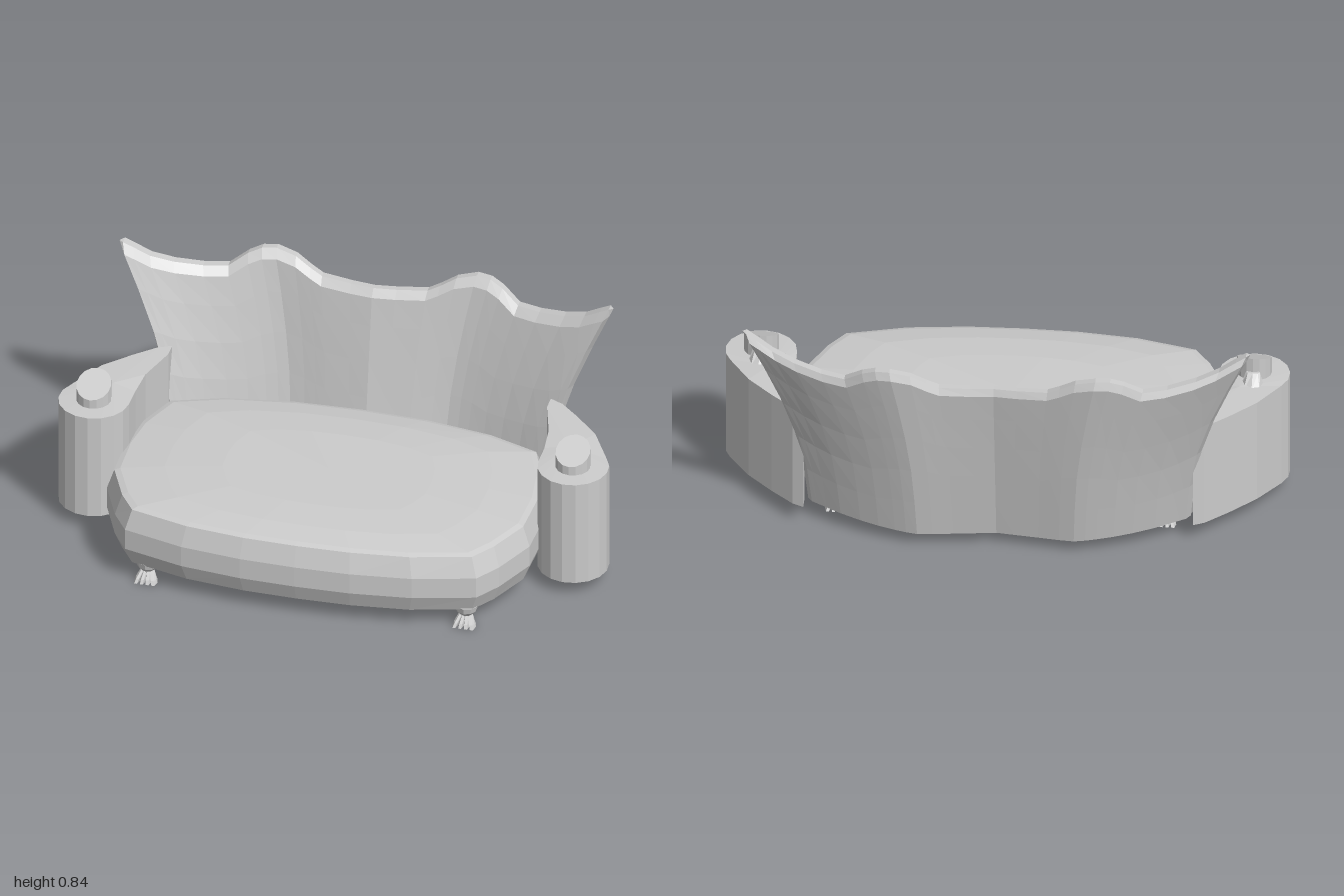
import * as THREE from 'three';

const material = new THREE.MeshStandardMaterial({ color: 0xcccccc, flatShading: true, side: THREE.DoubleSide });

// Linear lookup in a list of [key, value] pairs
function lookup(table, k) {
  for (let i = 1; i < table.length; i++) {
    const [a, va] = table[i - 1], [b, vb] = table[i];
    if (k <= b) return va + (vb - va) * Math.max(0, (k - a) / (b - a));
  }
  return table[table.length - 1][1];
}

// Skin closed rings of [x, y, z] points; collapse the end rings to close the solid
function loft(name, rings) {
  const n = rings[0].length, index = [];
  for (let j = 0; j < rings.length - 1; j++) {
    for (let i = 0; i < n; i++) {
      const a = j * n + i, b = j * n + (i + 1) % n;
      index.push(a, b, b + n, a, b + n, a + n);
    }
  }
  const geo = new THREE.BufferGeometry();
  geo.setAttribute('position', new THREE.Float32BufferAttribute(rings.flat(2), 3));
  geo.setIndex(index);
  geo.computeVertexNormals();
  const mesh = new THREE.Mesh(geo, material);
  mesh.name = name;
  return mesh;
}

// Circle in plan, counter-clockwise seen from above; y may depend on z
function circle(cx, cz, r, y, n = 16, rz = r) {
  return Array.from({ length: n }, (_, i) => {
    const a = (i / n) * Math.PI * 2, z = cz - Math.sin(a) * rz;
    return [cx + Math.cos(a) * r, typeof y === 'function' ? y(z) : y, z];
  });
}

// Domed seat cushion with a rounded rim
function makeSeat() {
  const half = [[0, 0.58], [0.2, 0.575], [0.42, 0.55], [0.64, 0.49], [0.7, 0.4], [0.77, 0.24], [0.775, 0.05],
    [0.755, -0.1], [0.69, -0.27], [0.5, -0.34], [0.25, -0.38], [0, -0.39]];
  const outline = [...half, ...half.slice(1, -1).reverse().map(([x, z]) => [-x, z])];
  // [inset, height]
  const layers = [[0.77, 0.07], [0.025, 0.07], [0, 0.135], [0, 0.215], [0.025, 0.29], [0.045, 0.297],
    [0.2, 0.313], [0.4, 0.323], [0.77, 0.325]];
  const rings = layers.map(([inset, y]) => outline.map(([x, z]) => [
    x * (1 - inset / 0.77) - 0.012,
    y,
    0.09 + (z - 0.09) * (1 - inset / (inset < 0.1 ? 0.5 : 0.77)),
  ]));
  rings[0].forEach((p) => { p[2] = 0.09; });
  return loft('seat', rings);
}

// Flared, leaning backrest with a scalloped top and pointed wings
function makeBackrest() {
  const topLine = [[0, 0.722], [0.1, 0.723], [0.23, 0.73], [0.28, 0.752], [0.34, 0.785], [0.42, 0.803], [0.48, 0.8],
    [0.54, 0.78], [0.63, 0.735], [0.73, 0.738], [0.84, 0.757], [0.92, 0.785], [0.97, 0.82], [1, 0.84]];
  const width = [[0.045, 0.66], [0.3, 0.685], [0.47, 0.73], [0.65, 0.8], [0.84, 0.885]];
  const plan = [[0, -0.4], [0.22, -0.42], [0.41, -0.44], [0.5, -0.43], [0.65, -0.4], [0.8, -0.36], [1, -0.285]];
  const levels = [0, 0.2, 0.4, 0.6, 0.8, 0.96];

  const column = (u, edge) => {
    const k = Math.abs(u), top = lookup(topLine, k), bottom = 0.045 + 0.025 * k * k;
    const point = (v, depth) => {
      const y = bottom + (top - bottom) * v;
      const thick = 0.045 + (0.01 + 0.025 * k) * v;
      const x = u * lookup(width, y) + (edge ? Math.sign(u) * 0.015 : 0);
      return [x, y, lookup(plan, k) - 0.19 * (y - 0.045) + thick * (edge ? 0.5 : depth)];
    };
    return [
      ...levels.map((v) => point(v, 0)),
      point(1, 0.25), point(1, 0.65),
      ...levels.slice().reverse().map((v) => point(v, 1)),
    ];
  };
  const us = topLine.map(([u]) => u);
  const all = [...us.slice(1).reverse().map((u) => -u), ...us];
  return loft('backrest', [column(-1, true), ...all.map((u) => column(u, false)), column(1, true)]);
}

// Arm: round front post running into a tapering tail, with a slant-cut knob
function makeArm(side) {
  const arm = new THREE.Group();
  arm.name = side > 0 ? 'leftArm' : 'rightArm';
  const mirror = (ring) => (side > 0 ? ring : ring.map(([x, y, z]) => [-x, y, z]).reverse());

  const outline = [];
  for (let i = 0; i <= 10; i++) {
    const a = Math.PI + (i / 10) * Math.PI * 1.2;
    outline.push([0.873 + Math.cos(a) * 0.127, 0.068 - Math.sin(a) * 0.127]);
  }
  outline.push([0.9, -0.14], [0.81, -0.235], [0.73, -0.31], [0.69, -0.33], [0.69, -0.27], [0.735, -0.12], [0.745, -0.02]);
  const low = (z) => (z < -0.1 ? 0.07 : 0.055);
  const high = (z) => (z < -0.05 ? 0.473 : 0.464);
  const flat = (y) => outline.map(() => [0.83, y, -0.04]);
  arm.add(loft('armBody', [
    flat(0.058),
    outline.map(([x, z]) => [x, low(z), z]),
    outline.map(([x, z]) => [x, high(z), z]),
    flat(0.474),
  ].map(mirror)));

  const slant = (z) => 0.5 + (0.135 - z) * 0.48;
  arm.add(loft('armKnob', [
    circle(0.873, 0.072, 0.062, 0.45),
    circle(0.873, 0.072, 0.062, 0.5),
    circle(0.873, 0.072, 0.062, slant),
    circle(0.873, 0.072, 0, slant),
  ].map(mirror)));

  // Sloping fillet behind the knob
  arm.add(loft('knobFillet', [
    circle(0.873, -0.005, 0.04, 0.46, 8, 0.05),
    circle(0.873, 0.01, 0.025, 0.505, 8, 0.01),
    circle(0.873, 0.01, 0, 0.505, 8),
  ].map(mirror)));
  return arm;
}

// Claw foot: waisted stem with four splayed toes
function makeFoot(sx, sz) {
  const foot = new THREE.Group();
  foot.name = (sz > 0 ? 'front' : 'back') + (sx > 0 ? 'Left' : 'Right') + 'Foot';
  const profile = [[0, 0.015], [0.022, 0.015], [0.022, 0.035], [0.038, 0.052], [0.044, 0.075], [0, 0.075]];
  const stem = new THREE.Mesh(new THREE.LatheGeometry(profile.map(([r, y]) => new THREE.Vector2(r, y)), 10), material);
  stem.name = 'footStem';
  foot.add(stem);
  for (let i = 0; i < 4; i++) {
    const t = i - 1.5;
    const toe = loft('toe', [
      circle(t * 0.021, 0.04, 0, 0, 6),
      circle(t * 0.021, 0.03, 0.0105, 0, 6, 0.028),
      circle(t * 0.018, 0.026, 0.0105, 0.014, 6, 0.022),
      circle(t * 0.011, 0.006, 0.009, 0.036, 6, 0.014),
      circle(t * 0.011, 0.006, 0, 0.036, 6),
    ]);
    foot.add(toe);
  }
  foot.position.set(sx * 0.58, 0, sz > 0 ? 0.443 : -0.19);
  if (sz < 0) foot.rotation.y = Math.PI;
  return foot;
}

export function createModel() {
  const sofa = new THREE.Group();
  sofa.name = 'sofa';
  sofa.add(makeSeat(), makeBackrest());
  for (const s of [1, -1]) {
    sofa.add(makeArm(s));
    for (const f of [1, -1]) sofa.add(makeFoot(s, f));
  }
  return sofa;
}
